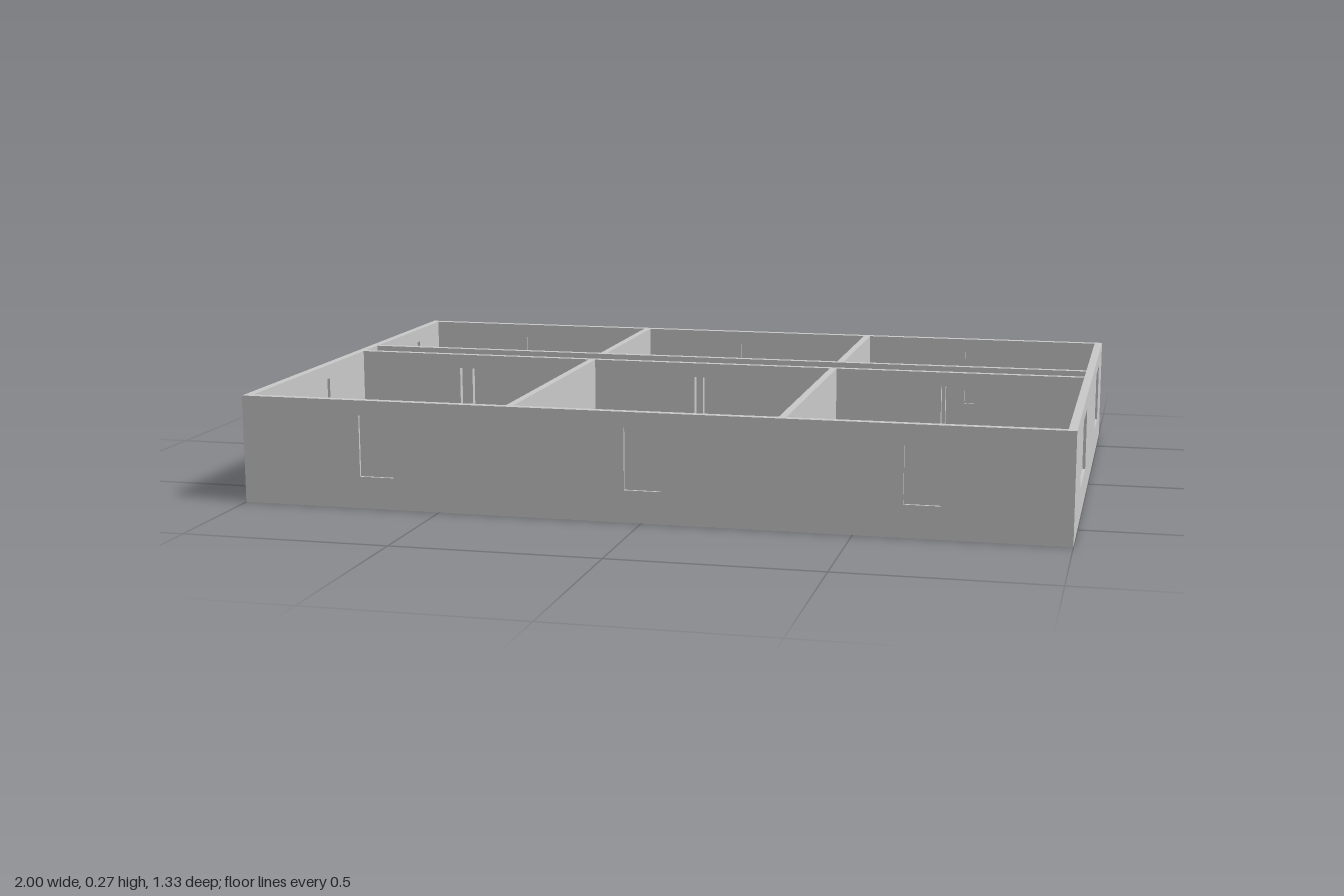
import * as THREE from 'three';

const H = 0.265, T = 0.02, BASE = 0.004;   // wall top, wall thickness, slab top
const X = 1, Z = 0.667;                    // half extents
const SILL = 0.078, HEAD = 0.228;

const grey = new THREE.MeshStandardMaterial({ color: 0xcccccc });
const red = new THREE.MeshStandardMaterial({ color: 0xe86c6a });

function box(name, material, x0, x1, y0, y1, z0, z1) {
  const mesh = new THREE.Mesh(new THREE.BoxGeometry(x1 - x0, y1 - y0, z1 - z0), material);
  mesh.position.set((x0 + x1) / 2, (y0 + y1) / 2, (z0 + z1) / 2);
  mesh.name = name;
  return mesh;
}

// Upright wall along local x from u0 to u1, with door notches and recessed windows
function wall(name, u0, u1, { windows = [], doors = [], thickness = T } = {}) {
  const group = new THREE.Group();
  group.name = name;
  const shape = new THREE.Shape();
  shape.moveTo(u0, BASE);
  for (const [a, b] of doors) {
    shape.lineTo(a, BASE);
    shape.lineTo(a, HEAD);
    shape.lineTo(b, HEAD);
    shape.lineTo(b, BASE);
  }
  shape.lineTo(u1, BASE);
  shape.lineTo(u1, H);
  shape.lineTo(u0, H);
  shape.closePath();
  for (const [a, b] of windows) {
    const hole = new THREE.Path();
    hole.moveTo(a, SILL);
    hole.lineTo(a, HEAD);
    hole.lineTo(b, HEAD);
    hole.lineTo(b, SILL);
    hole.closePath();
    shape.holes.push(hole);
    group.add(box('windowPane', grey, a, b, SILL, HEAD, -0.003, 0.003));
  }
  const geometry = new THREE.ExtrudeGeometry(shape, { depth: thickness, bevelEnabled: false });
  geometry.translate(0, 0, -thickness / 2);
  const mesh = new THREE.Mesh(geometry, grey);
  mesh.name = name + 'Panel';
  group.add(mesh);
  return group;
}

export function createModel() {
  const model = new THREE.Group();
  model.name = 'floorPlan';

  // Ground slab and the coloured floor inside the outer walls
  model.add(box('slab', grey, -X, X, 0, BASE, -Z, Z));
  model.add(box('floor', red, -X + T, X - T, BASE / 2, BASE + 0.002, -Z + T, Z - T));

  // Front and back walls, one narrow window per room
  const bays = [[-0.70, -0.614], [-0.041, 0.047], [0.616, 0.702]];
  for (const [name, s] of [['frontWall', 1], ['backWall', -1]]) {
    const w = wall(name, -X, X, { windows: bays });
    w.position.z = s * (Z - T / 2);
    model.add(w);
  }

  // End walls, with a wide window for the front room and a smaller one for the back room
  const endWindows = [[-0.487, -0.329], [0.182, 0.419]];
  for (const [name, s] of [['leftWall', 1], ['rightWall', -1]]) {
    const w = wall(name, -Z + T, Z - T, { windows: endWindows });
    w.rotation.y = -Math.PI / 2;
    w.position.x = s * (X - T / 2);
    model.add(w);
  }

  // Corridor walls, with a doorway into each room
  const corridorT = 0.018;
  const corridor = { frontCorridorWall: -0.064, backCorridorWall: -0.164 };
  for (const [name, z] of Object.entries(corridor)) {
    const w = wall(name, -X + T, X - T, { doors: bays, thickness: corridorT });
    w.position.z = z;
    model.add(w);
  }

  // Partitions between the rooms
  for (const x of [-0.325, 0.332]) {
    const x0 = x - 0.009, x1 = x + 0.009;
    model.add(box('frontPartition', grey, x0, x1, BASE, H,
      corridor.frontCorridorWall + corridorT / 2, Z - T));
    model.add(box('backPartition', grey, x0, x1, BASE, H,
      -Z + T, corridor.backCorridorWall - corridorT / 2));
  }
  return model;
}
